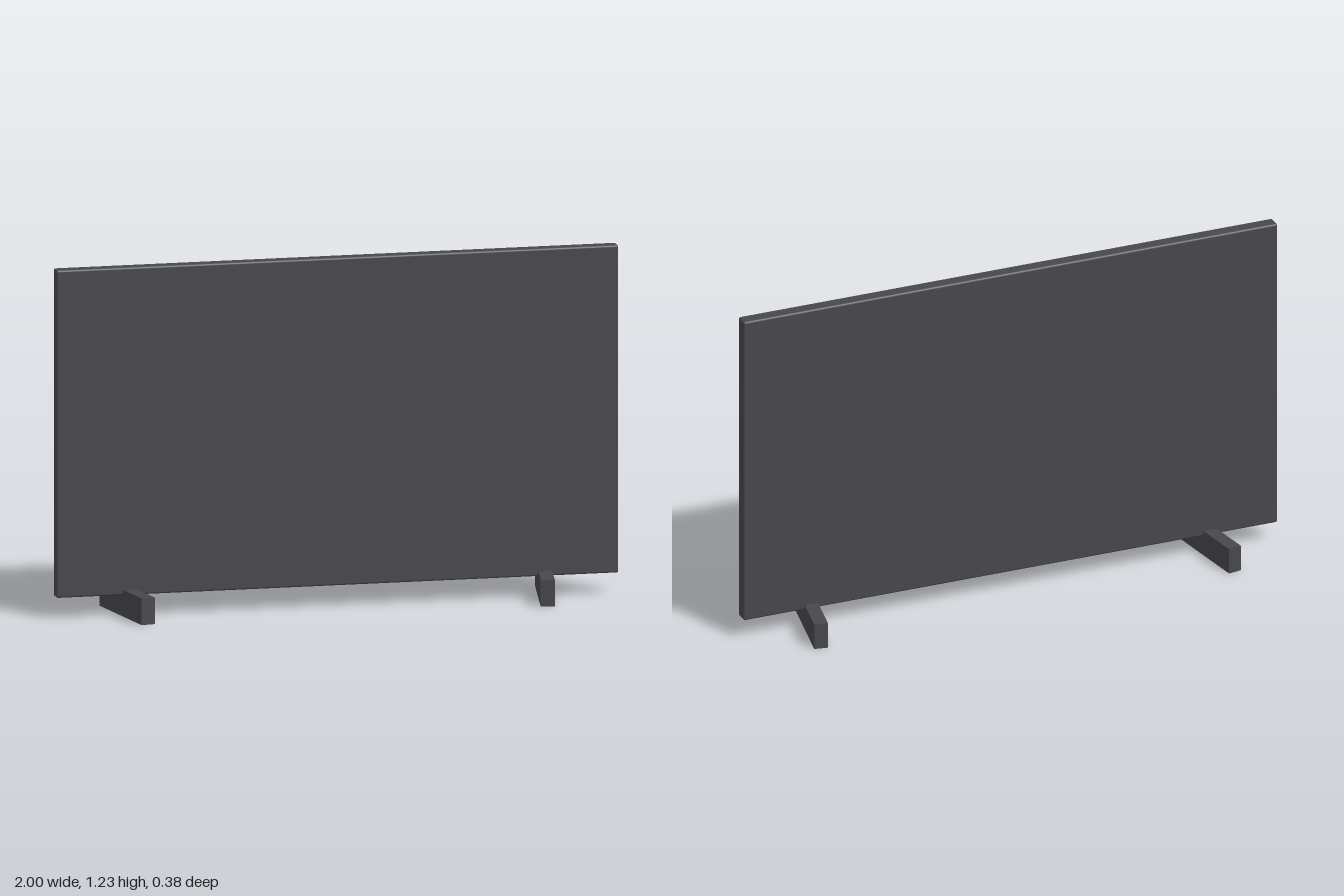
import * as THREE from 'three';
import { RoundedBoxGeometry } from 'three/addons/geometries/RoundedBoxGeometry.js';

const PANEL = { width: 2, height: 1.158, depth: 0.05, bottom: 0.075 };
const FOOT = { width: 0.049, height: 0.094, length: 0.373, x: 0.743, splay: THREE.MathUtils.degToRad(10) };

export function createModel() {
  const model = new THREE.Group();
  const material = new THREE.MeshStandardMaterial({ color: 0x48474c });

  // Thin upright screen with slightly softened edges
  const panel = new THREE.Mesh(
    new RoundedBoxGeometry(PANEL.width, PANEL.height, PANEL.depth, 2, 0.007), material);
  panel.name = 'screenPanel';
  panel.position.y = PANEL.bottom + PANEL.height / 2;
  model.add(panel);

  // Two bar feet, mirrored, with their front ends turned inwards
  const footGeometry = new THREE.BoxGeometry(FOOT.width, FOOT.height, FOOT.length);
  for (const side of [1, -1]) {
    const foot = new THREE.Mesh(footGeometry, material);
    foot.name = side > 0 ? 'leftFoot' : 'rightFoot';
    foot.position.set(side * FOOT.x, FOOT.height / 2, 0);
    foot.rotation.y = -side * FOOT.splay;
    model.add(foot);
  }
  return model;
}
